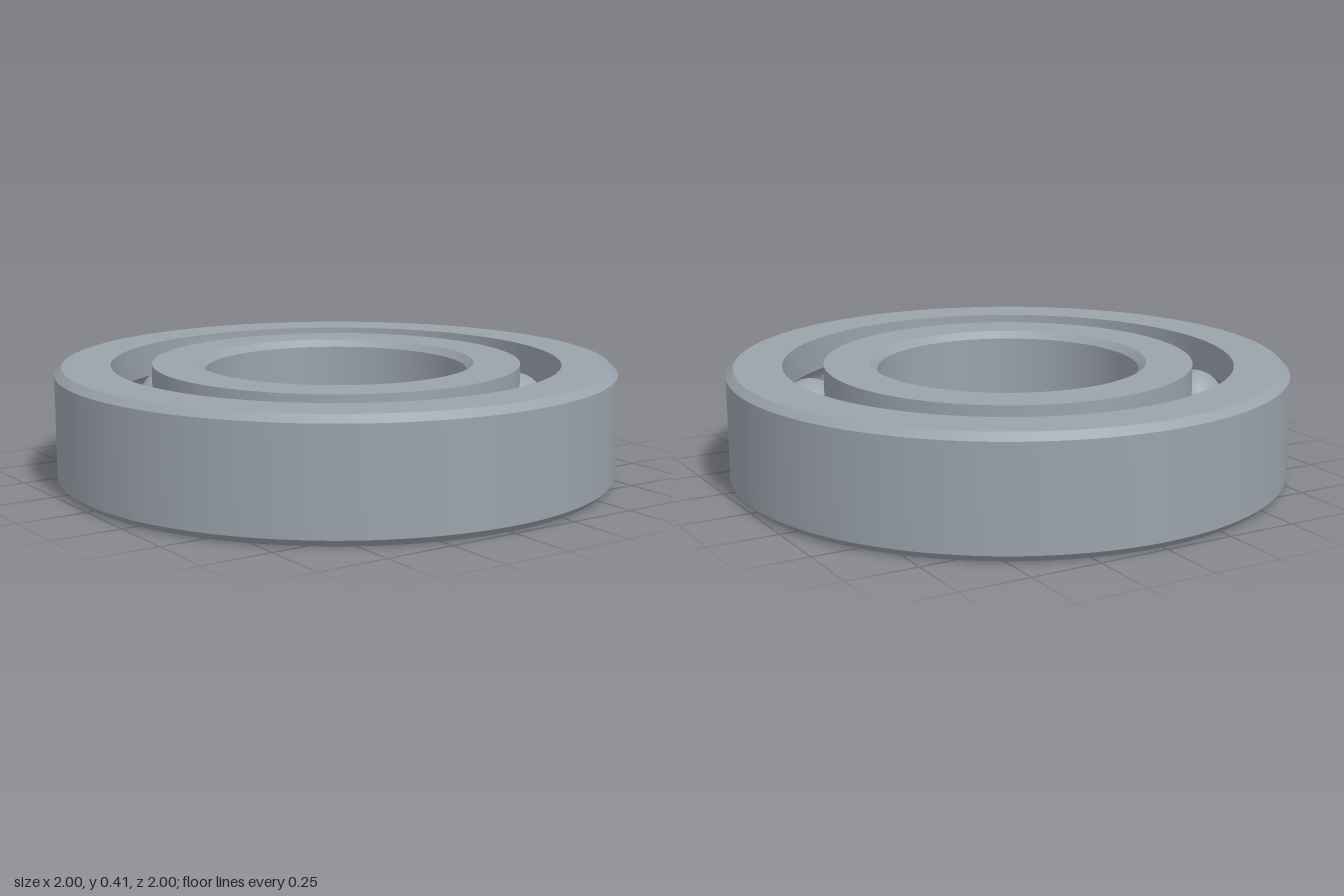
import * as THREE from 'three';
import { toCreasedNormals } from 'three/addons/utils/BufferGeometryUtils.js';

const HEIGHT = 0.415;
const MID = HEIGHT / 2;
const CHAMFER = 0.025;
const BALL_COUNT = 14;
const BALL_RADIUS = 0.113;
const PITCH_RADIUS = 0.7305;
const OUTER_LIP = 0.803;
const INNER_LIP = 0.658;

// Arc of the ball groove, from one lip edge to the other
function groove(lipRadius, startY) {
  const dx = lipRadius - PITCH_RADIUS;
  const half = Math.acos(Math.abs(dx) / BALL_RADIUS);
  const points = [];
  for (let i = 0; i <= 14; i++) {
    const a = startY * half * (1 - i / 7);
    points.push(new THREE.Vector2(
      PITCH_RADIUS + Math.sign(dx) * BALL_RADIUS * Math.cos(a),
      MID + BALL_RADIUS * Math.sin(a)
    ));
  }
  return points;
}

// Revolve a closed profile, keeping its corners sharp
function ring(name, profile, material) {
  const geometry = new THREE.LatheGeometry([...profile, profile[0].clone()], 128);
  const mesh = new THREE.Mesh(toCreasedNormals(geometry, 0.4), material);
  mesh.name = name;
  return mesh;
}

export function createModel() {
  const model = new THREE.Group();
  model.name = 'ballBearing';
  const steel = new THREE.MeshStandardMaterial({ color: 0x9aa2ab });
  steel.name = 'steel';
  const p = (r, y) => new THREE.Vector2(r, y);

  // Outer ring: chamfered rim, groove on the inside
  model.add(ring('outerRing', [
    p(OUTER_LIP, 0), p(1 - CHAMFER, 0), p(1, CHAMFER),
    p(1, HEIGHT - CHAMFER), p(1 - CHAMFER, HEIGHT), p(OUTER_LIP, HEIGHT),
    ...groove(OUTER_LIP, 1),
  ], steel));

  // Inner ring: chamfered bore, groove on the outside
  const bore = 0.468;
  model.add(ring('innerRing', [
    p(bore + CHAMFER, 0), p(INNER_LIP, 0),
    ...groove(INNER_LIP, -1),
    p(INNER_LIP, HEIGHT), p(bore + CHAMFER, HEIGHT),
    p(bore, HEIGHT - CHAMFER), p(bore, CHAMFER),
  ], steel));

  // Balls, evenly spaced along the groove
  const balls = new THREE.Group();
  balls.name = 'balls';
  const ballGeometry = new THREE.SphereGeometry(BALL_RADIUS, 40, 28);
  for (let i = 0; i < BALL_COUNT; i++) {
    const a = (i / BALL_COUNT) * Math.PI * 2 + 0.017;
    const ball = new THREE.Mesh(ballGeometry, steel);
    ball.name = 'ball';
    ball.position.set(Math.sin(a) * PITCH_RADIUS, MID, Math.cos(a) * PITCH_RADIUS);
    balls.add(ball);
  }
  model.add(balls);
  return model;
}
